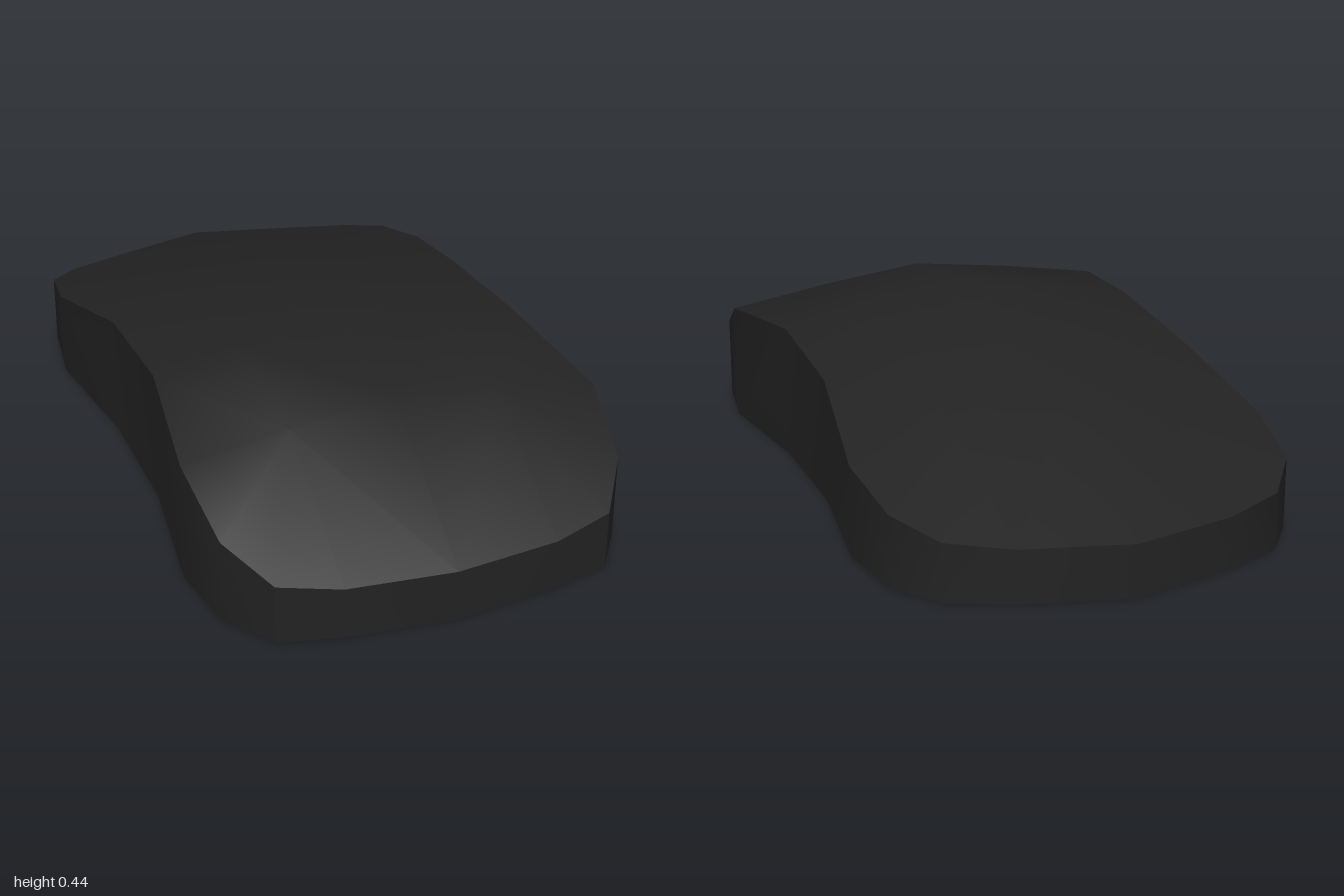
import * as THREE from 'three';
import { toCreasedNormals } from 'three/addons/utils/BufferGeometryUtils.js';

// Rim of one half, front to back: x, top height, z
const RIM = [
  [0, 0.14, 1], [0.28, 0.14, 0.97], [0.44, 0.16, 0.93], [0.53, 0.225, 0.8],
  [0.56, 0.325, 0.6], [0.51, 0.367, 0.22], [0.51, 0.337, -0.15], [0.56, 0.24, -0.53],
  [0.53, 0.19, -0.74], [0.44, 0.153, -0.86], [0.28, 0.14, -0.93], [0, 0.14, -1],
];
// Inner cross rows, front to back: z, height on the centre line, height at x = 0.28
const ROWS = [
  [0.6, 0.405, 0.37], [0.22, 0.445, 0.41], [-0.15, 0.415, 0.38], [-0.53, 0.315, 0.28],
];

// Collects polygons on the +x half as fans and mirrors each to -x
function mirroredGeometry(polygons) {
  const pos = [];
  for (const poly of polygons) {
    for (let i = 1; i < poly.length - 1; i++) {
      const tri = [poly[0], poly[i], poly[i + 1]];
      tri.forEach((p) => pos.push(...p));
      [tri[0], tri[2], tri[1]].forEach(([x, y, z]) => pos.push(-x, y, z));
    }
  }
  const g = new THREE.BufferGeometry();
  g.setAttribute('position', new THREE.Float32BufferAttribute(pos, 3));
  return g;
}

export function createModel() {
  const group = new THREE.Group();
  group.name = 'computerMouse';
  const black = new THREE.MeshStandardMaterial({ color: 0x222222 });
  black.name = 'matteBlack';
  const add = (name, geometry) => {
    const mesh = new THREE.Mesh(geometry, black);
    mesh.name = name;
    group.add(mesh);
  };

  // Domed top: centre strip, outer strip and a fan at each rounded corner
  const centre = [RIM[0], ...ROWS.map(([z, c]) => [0, c, z]), RIM[11]];
  const mid = [RIM[1], ...ROWS.map(([z, , m]) => [0.28, m, z]), RIM[10]];
  const top = [];
  for (let i = 0; i < 5; i++) top.push([centre[i], mid[i], mid[i + 1], centre[i + 1]]);
  for (let i = 1; i < 4; i++) top.push([mid[i], RIM[i + 3], RIM[i + 4], mid[i + 1]]);
  top.push([mid[1], RIM[1], RIM[2], RIM[3], RIM[4]]);
  top.push([mid[4], RIM[7], RIM[8], RIM[9], RIM[10]]);
  add('topShell', toCreasedNormals(mirroredGeometry(top), 0.8));

  // Upright wall below the rim
  const floor = ([x, , z]) => [x, 0, z];
  const wall = [];
  for (let i = 0; i < 11; i++) wall.push([floor(RIM[i]), floor(RIM[i + 1]), RIM[i + 1], RIM[i]]);
  add('sideWall', toCreasedNormals(mirroredGeometry(wall), Math.PI / 6));

  // Flat underside, facing down
  const outline = [...RIM, ...RIM.slice(1, -1).reverse().map(([x, y, z]) => [-x, y, z])];
  const shape = new THREE.Shape(outline.map(([x, , z]) => new THREE.Vector2(x, z)));
  add('base', new THREE.ShapeGeometry(shape).rotateX(Math.PI / 2));

  return group;
}
